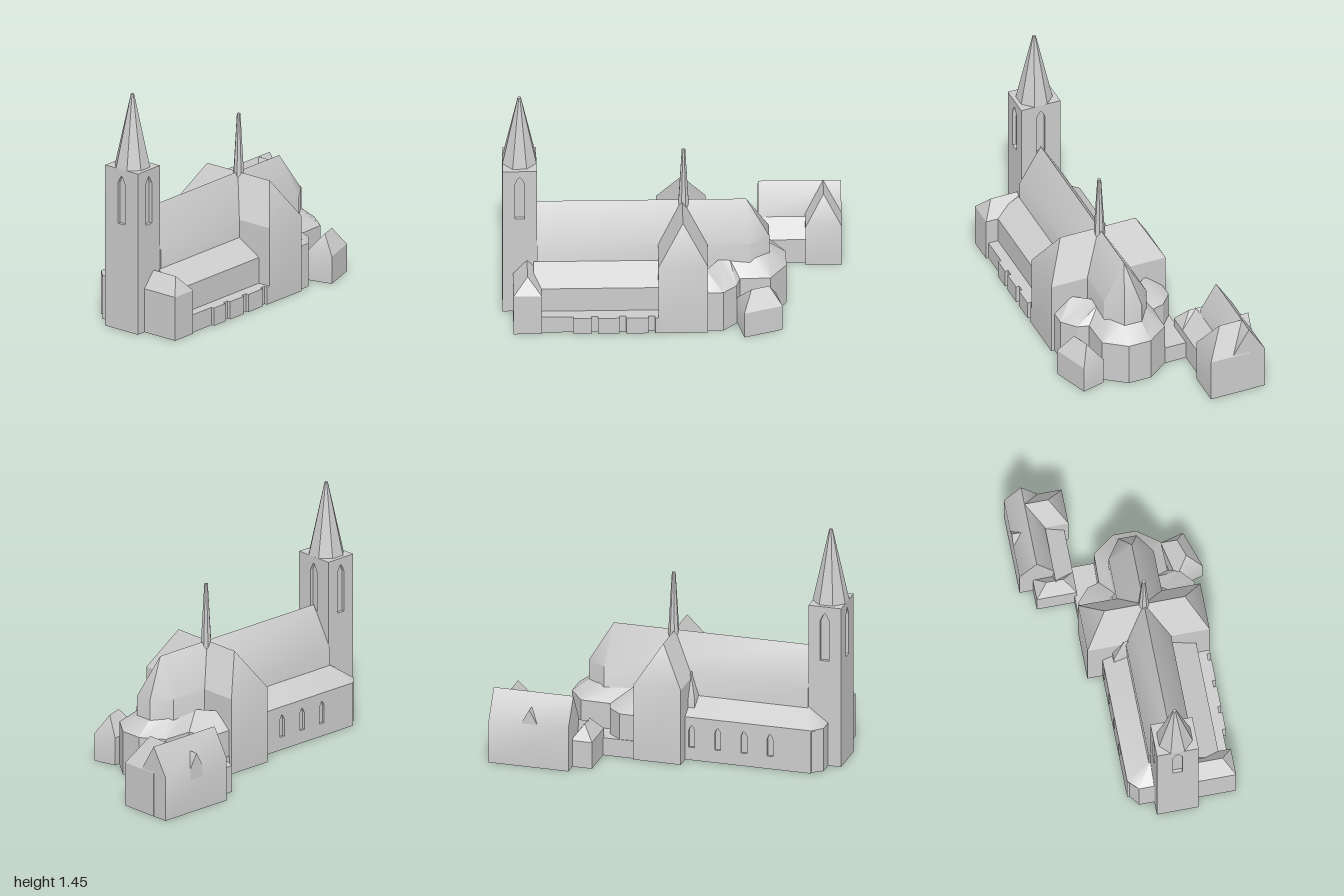
import * as THREE from 'three';
import { toCreasedNormals } from 'three/addons/utils/BufferGeometryUtils.js';

const stone = new THREE.MeshStandardMaterial({ color: 0xcccccc });
stone.name = 'pale stone';
const AXIS = 0.115; // z of the nave centre line

export function createModel() {
  const church = new THREE.Group();
  church.name = 'church';

  const add = (name, geometry, x = 0, y = 0, z = 0, ry = 0) => {
    const mesh = new THREE.Mesh(geometry, stone);
    mesh.name = name;
    mesh.position.set(x, y, z);
    mesh.rotation.y = ry;
    church.add(mesh);
    return mesh;
  };

  // Walls over a footprint of [x, z], then a roof joining each corner to its own top point
  const solid = (name, foot, y0, eave, tops) => {
    const n = foot.length;
    let area = 0;
    foot.forEach(([x, z], i) => {
      const [u, v] = foot[(i + 1) % n];
      area += x * v - u * z;
    });
    if (area > 0) {
      foot = [...foot].reverse();
      tops = [...tops].reverse();
    }
    const ring = (y) => foot.map(([x, z]) => new THREE.Vector3(x, y, z));
    const rings = [ring(y0), ring(eave), tops.map((p) => new THREE.Vector3(...p))];
    const positions = [];
    const tri = (a, b, c) => {
      const normal = b.clone().sub(a).cross(c.clone().sub(a));
      if (normal.length() > 1e-7) positions.push(...a, ...b, ...c);
    };
    for (let r = 0; r < 2; r++) {
      for (let i = 0; i < n; i++) {
        const j = (i + 1) % n;
        tri(rings[r][i], rings[r][j], rings[r + 1][j]);
        tri(rings[r][i], rings[r + 1][j], rings[r + 1][i]);
      }
    }
    const flat = foot.map(([x, z]) => new THREE.Vector2(x, z));
    for (const [a, b, c] of THREE.ShapeUtils.triangulateShape(flat, [])) {
      const turn = flat[b].clone().sub(flat[a]).cross(flat[c].clone().sub(flat[a]));
      const [p, q] = turn > 0 ? [b, c] : [c, b];
      tri(rings[0][a], rings[0][p], rings[0][q]);
    }
    const geometry = new THREE.BufferGeometry();
    geometry.setAttribute('position', new THREE.Float32BufferAttribute(positions, 3));
    return add(name, toCreasedNormals(geometry, 0.56));
  };

  // Rectangular house: ridge along x or z, each end gabled (inset 0) or hipped
  const house = (name, x0, x1, z0, z1, eave, top, along, in0 = 0, in1 = 0, y0 = 0) => {
    const foot = [[x0, z0], [x1, z0], [x1, z1], [x0, z1]];
    const tops = foot.map(([x, z]) => along === 'x'
      ? [x === x0 ? x0 + in0 : x1 - in1, top, (z0 + z1) / 2]
      : [(x0 + x1) / 2, top, z === z0 ? z0 + in0 : z1 - in1]);
    return solid(name, foot, y0, eave, tops);
  };

  const box = (name, x0, x1, y0, y1, z0, z1) =>
    add(name, new THREE.BoxGeometry(x1 - x0, y1 - y0, z1 - z0), (x0 + x1) / 2, (y0 + y1) / 2, (z0 + z1) / 2);

  // Wall slab pierced by pointed windows, given as centre x, sill, tip and width
  const panel = (width, height, depth, windows) => {
    const shape = new THREE.Shape();
    shape.moveTo(0, 0).lineTo(width, 0).lineTo(width, height).lineTo(0, height).closePath();
    for (const [x, sill, tip, w] of windows) {
      const hole = new THREE.Path();
      hole.moveTo(x - w / 2, sill).lineTo(x - w / 2, tip - w * 0.9).lineTo(x - w / 4, tip - w * 0.35)
        .lineTo(x, tip).lineTo(x + w / 4, tip - w * 0.35).lineTo(x + w / 2, tip - w * 0.9)
        .lineTo(x + w / 2, sill).closePath();
      shape.holes.push(hole);
    }
    return new THREE.ExtrudeGeometry(shape, { depth, bevelEnabled: false });
  };

  // West tower with a recessed window on each side and an octagonal spire
  box('towerCore', -0.98, -0.82, 0, 1, 0.01, 0.22);
  for (const z of [-0.01, 0.22]) add('towerWall', panel(0.2, 1, 0.02, [[0.1, 0.66, 0.96, 0.055]]), -1, 0, z);
  for (const x of [-0.98, -0.8]) {
    add('towerSideWall', panel(0.25, 1, 0.02, [[0.125, 0.66, 0.96, 0.055]]), x, 0, -0.01, -Math.PI / 2);
  }
  const spire = (name, r0, r1, y0, y1, x) => {
    const geometry = new THREE.CylinderGeometry(r1, r0, y1 - y0, 8);
    geometry.rotateY(Math.PI / 8);
    add(name, toCreasedNormals(geometry, 0.3), x, (y0 + y1) / 2, AXIS);
  };
  spire('towerSpire', 0.108, 0.01, 1, 1.445, -0.9);
  spire('crossingSpire', 0.034, 0.011, 0.66, 1.06, 0.063);

  // Nave and choir under one roof, ending in a polygonal apse
  const naveFoot = [[-0.8, 0.135], [0.45, 0.135], [0.565, 0.055], [0.565, -0.055], [0.45, -0.135], [-0.8, -0.135]];
  solid('nave', naveFoot.map(([x, d]) => [x, AXIS + d]), 0, 0.47,
    naveFoot.map(([x]) => [Math.min(x, 0.43), 0.7, AXIS]));
  house('transept', -0.09, 0.2, -0.25, 0.48, 0.47, 0.7, 'z', 0.13, 0.12);

  // Low ring of chapels around the choir, mirrored about the nave axis
  const outer = [[0.19, 0.345], [0.29, 0.345], [0.37, 0.275], [0.39, 0.205], [0.57, 0.2], [0.665, 0.07]];
  const inner = [[0.19, 0.24], [0.19, 0.24], [0.27, 0.13], [0.33, 0.125], [0.47, 0.11], [0.55, 0.05]];
  const mirror = (points) => [...points, ...points.map(([x, d]) => [x, -d]).reverse()];
  solid('ambulatory', mirror(outer).map(([x, d]) => [x, AXIS + d]), 0, 0.27,
    mirror(inner).map(([x, d]) => [x, 0.36, AXIS + d]));

  // South aisle, its low terrace with notches, and the west porch
  solid('southAisle', [[-0.82, 0.24], [-0.08, 0.24], [-0.08, 0.4], [-0.82, 0.4]], 0, 0.27,
    [-0.82, -0.08, -0.08, -0.82].map((x) => [x, 0.36, 0.25]));
  const terrace = new THREE.Shape();
  terrace.moveTo(-0.8, -0.38).lineTo(-0.8, -0.46).lineTo(-0.59, -0.46).lineTo(-0.59, -0.48);
  for (const x of [-0.465, -0.3, -0.13]) {
    terrace.lineTo(x - 0.02, -0.48).lineTo(x - 0.02, -0.46).lineTo(x + 0.02, -0.46).lineTo(x + 0.02, -0.48);
  }
  terrace.lineTo(-0.08, -0.48).lineTo(-0.08, -0.38).closePath();
  const terraceGeometry = new THREE.ExtrudeGeometry(terrace, { depth: 0.11, bevelEnabled: false });
  terraceGeometry.rotateX(-Math.PI / 2);
  add('terrace', terraceGeometry);
  house('westPorch', -0.94, -0.775, 0.2, 0.475, 0.27, 0.365, 'z', 0, 0.065);

  // North aisle: recessed core, windowed wall and a roof with a chamfered west end
  const northFoot = (z) => [[-0.08, 0], [-0.08, z], [-0.86, z], [-0.92, -0.1], [-0.92, 0]];
  const northTops = (y) => [-0.08, -0.08, -0.8, -0.8, -0.8].map((x) => [x, y, -0.01]);
  solid('northAisleCore', northFoot(-0.145), 0, 0.262, northTops(0.3));
  add('northAisleWall', panel(0.78, 0.262, 0.015,
    [-0.13, -0.29, -0.45, -0.61].map((x) => [x + 0.86, 0.08, 0.22, 0.036])), -0.86, 0, -0.16);
  solid('northAisleRoof', northFoot(-0.16), 0.26, 0.27, northTops(0.36));
  solid('stairTurret', [[-0.13, 0], [-0.08, 0], [-0.08, -0.1], [-0.13, -0.1]], 0.2, 0.36,
    [0, 0, -0.03, -0.03].map((z) => [-0.085, 0.5, z]));

  // Small hipped sacristy, set askew beside the choir
  solid('sacristy', [[0.37, 0.37], [0.412, 0.535], [0.637, 0.46], [0.6, 0.32]], 0, 0.17,
    [[0.455, 0.28, 0.445], [0.455, 0.28, 0.445], [0.56, 0.28, 0.41], [0.56, 0.28, 0.41]]);

  // Parish house with a hipped wing, dormer, lean-to, hut and low passage to the choir
  house('parishHouse', 0.51, 0.998, -0.54, -0.335, 0.27, 0.437, 'x');
  house('parishWing', 0.785, 1, -0.44, -0.195, 0.27, 0.437, 'z', 0, 0.1);
  house('dormer', 0.7, 0.8, -0.54, -0.44, 0.27, 0.36, 'z', 0, 0, 0.2);
  solid('leanTo', [[0.45, -0.345], [0.79, -0.345], [0.79, -0.22], [0.45, -0.22]], 0, 0.165,
    [0.45, 0.79, 0.79, 0.45].map((x) => [x, 0.25, -0.335]));
  house('hut', 0.39, 0.52, -0.46, -0.22, 0.165, 0.25, 'z', 0.07, 0.07);
  box('passage', 0.19, 0.57, 0, 0.11, -0.235, 0.02);

  return church;
}
